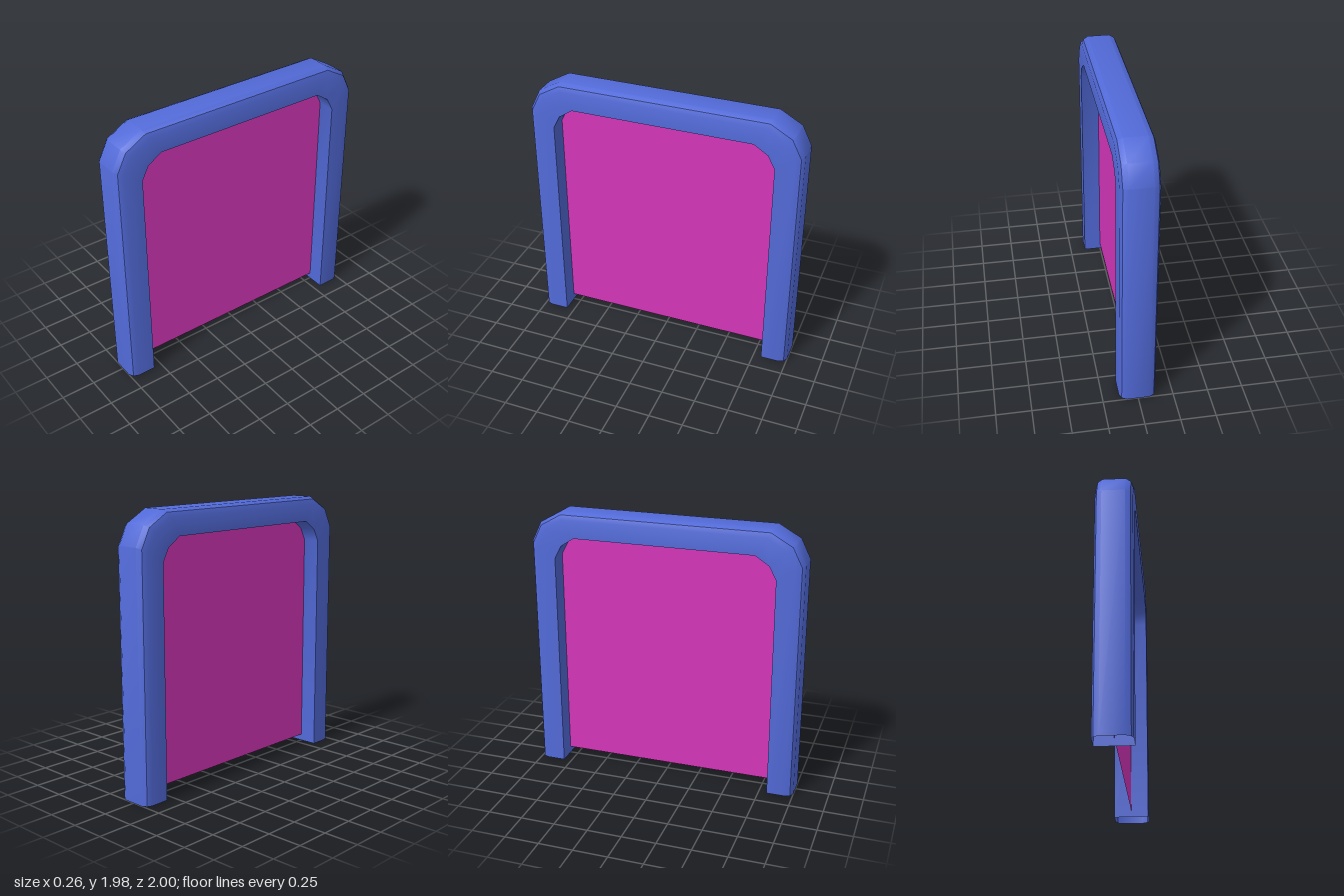
import * as THREE from 'three';
import { toCreasedNormals } from 'three/addons/utils/BufferGeometryUtils.js';

// Half of the arch as [z, y], from the foot to the top: outer and inner edges
const OUTER = [[1, 0], [1, 1.75], [0.93, 1.89], [0.77, 1.98]];
const INNER = [[0.81, 0], [0.81, 1.64], [0.76, 1.735], [0.66, 1.8]];

// Tube section as [x, t]: t runs from the outer edge (0) to the inner edge (1)
const HALF_SECTION = [[0.08, 0], [0.115, 0.1], [0.13, 0.29], [0.13, 1]];

const mirrorEnds = (half) => [...half, ...half.map(([z, y]) => [-z, y]).reverse()];

// Hollow tube with open feet, swept between the two arch edges
function frameGeometry() {
  const outer = mirrorEnds(OUTER);
  const inner = mirrorEnds(INNER);
  const section = mirrorEnds(HALF_SECTION.map(([x, t]) => [x, t]));
  const positions = [];
  const index = [];
  const n = section.length;
  outer.forEach(([oz, oy], i) => {
    const [iz, iy] = inner[i];
    for (const [x, t] of section) {
      positions.push(x, THREE.MathUtils.lerp(oy, iy, t), THREE.MathUtils.lerp(oz, iz, t));
    }
  });
  for (let i = 0; i < outer.length - 1; i++) {
    for (let j = 0; j < n; j++) {
      const k = (j + 1) % n;
      const a = i * n + j, b = i * n + k, c = a + n, d = b + n;
      index.push(a, b, d, a, d, c);
    }
  }
  const geometry = new THREE.BufferGeometry();
  geometry.setAttribute('position', new THREE.Float32BufferAttribute(positions, 3));
  geometry.setIndex(index);
  return toCreasedNormals(geometry, 0.61);
}

// Thin sheet whose rim is tucked slightly into the frame
function panelGeometry() {
  const rim = INNER.map(([z, y], i) => [
    THREE.MathUtils.lerp(z, OUTER[i][0], 0.15),
    i === 0 ? 0.05 : THREE.MathUtils.lerp(y, OUTER[i][1], 0.15),
  ]);
  const shape = new THREE.Shape(mirrorEnds(rim).map(([z, y]) => new THREE.Vector2(z, y)));
  return new THREE.ShapeGeometry(shape).rotateY(-Math.PI / 2);
}

export function createModel() {
  const group = new THREE.Group();
  group.name = 'archedPortal';

  const add = (name, geometry, color) => {
    const material = new THREE.MeshStandardMaterial({ color, side: THREE.DoubleSide });
    const mesh = new THREE.Mesh(geometry, material);
    mesh.name = name;
    group.add(mesh);
  };

  add('archFrame', frameGeometry(), 0x526ad8);
  add('panel', panelGeometry(), 0xd636bb);
  return group;
}
